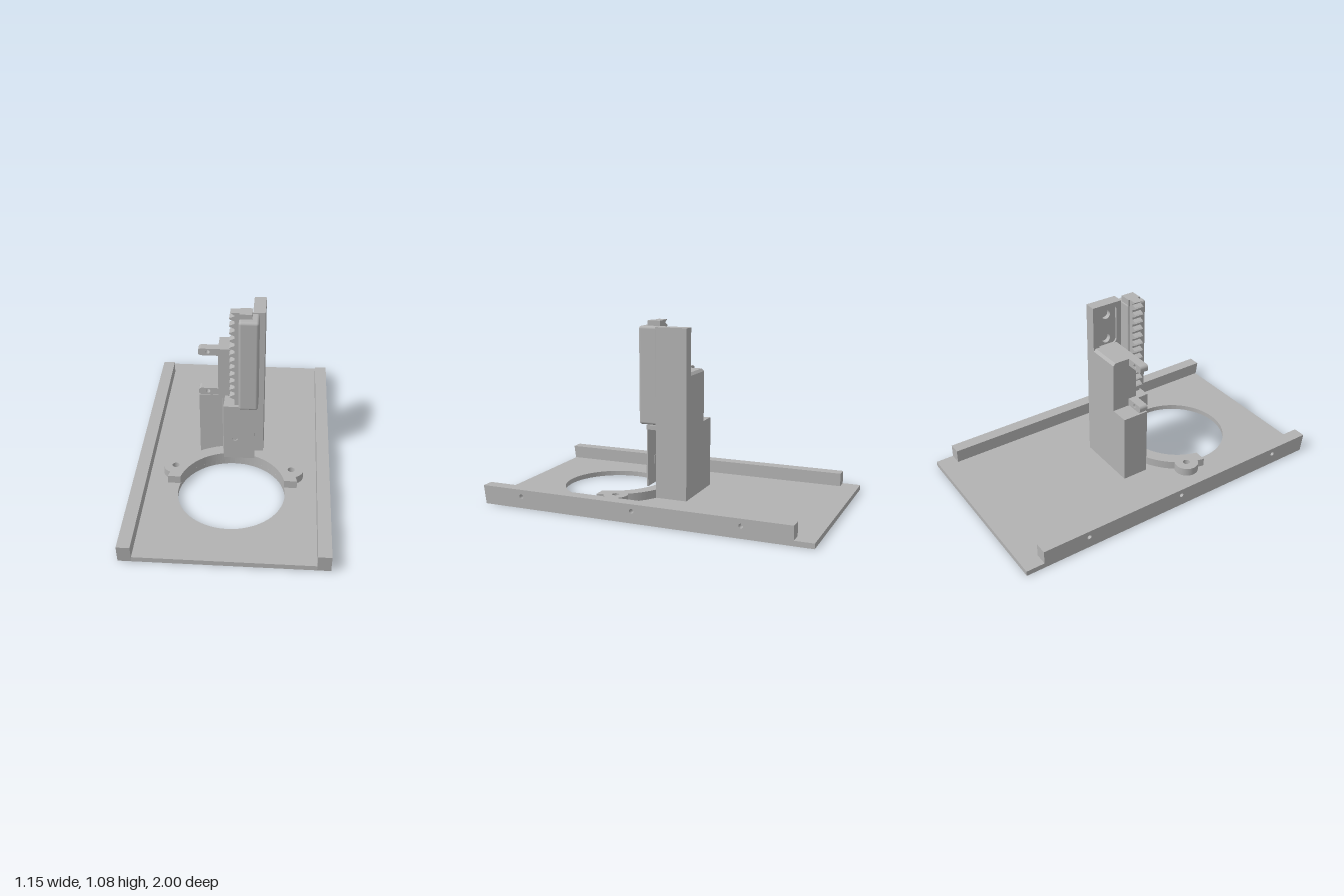
import * as THREE from 'three';
import { RoundedBoxGeometry } from 'three/addons/geometries/RoundedBoxGeometry.js';

export function createModel() {
  const model = new THREE.Group();
  const grey = new THREE.MeshStandardMaterial({ color: 0xb2b2b2 });
  grey.name = 'grey';

  const add = (name, geo) => {
    const mesh = new THREE.Mesh(geo, grey);
    mesh.name = name;
    model.add(mesh);
    return mesh;
  };
  // Box from its limits on each axis
  const box = (name, x0, x1, y0, y1, z0, z1) =>
    add(name, new THREE.BoxGeometry(x1 - x0, y1 - y0, z1 - z0)
      .translate((x0 + x1) / 2, (y0 + y1) / 2, (z0 + z1) / 2));
  const extrude = (shape, depth) =>
    new THREE.ExtrudeGeometry(shape, { depth, bevelEnabled: false, curveSegments: 32 });
  // Shapes drawn as (z, y), (x, -z) and (x, y)
  const alongX = (name, shape, x0, x1) =>
    add(name, extrude(shape, x1 - x0).rotateY(-Math.PI / 2).translate(x1, 0, 0));
  const alongY = (name, shape, y0, y1) =>
    add(name, extrude(shape, y1 - y0).rotateX(-Math.PI / 2).translate(0, y0, 0));
  const alongZ = (name, shape, z0, z1) =>
    add(name, extrude(shape, z1 - z0).translate(0, 0, z0));
  const poly = pts => new THREE.Shape(pts.map(p => new THREE.Vector2(...p)));
  const rect = (x0, x1, y0, y1) => poly([[x0, y0], [x1, y0], [x1, y1], [x0, y1]]);
  const hole = (shape, x, y, r) =>
    shape.holes.push(new THREE.Path().absarc(x, y, r, 0, Math.PI * 2, true));

  // Base plate with the large round opening
  const plate = rect(-0.575, 0.575, -0.985, 1);
  hole(plate, 0, -0.415, 0.315);
  alongY('basePlate', plate, 0, 0.03);

  // Side rails with blind holes in their outer faces
  for (const s of [-1, 1]) {
    const profile = () => poly([[-0.89, 0], [0.985, 0], [1, 0.11], [-0.89, 0.11]]);
    const drilled = profile();
    for (const z of [0.74, 0.03, -0.605]) hole(drilled, z, 0.07, 0.013);
    const span = (a, b) => (s > 0 ? [a, b] : [-b, -a]);
    alongX('railOuter', drilled, ...span(0.535, 0.575));
    alongX('railInner', profile(), ...span(0.5, 0.535));
  }

  // Half ring around the opening, with two screw ears
  const R = 0.39, cy = -0.415, earR = 0.072, earAngle = 0.4636;
  const half = 2 * Math.asin(earR / 2 / R);
  const ring = new THREE.Shape();
  let from = 0.17;
  for (const a of [earAngle, Math.PI - earAngle]) {
    const ex = R * Math.cos(a), ey = R * Math.sin(a);
    const toEar = t => Math.atan2(R * Math.sin(t) - ey, R * Math.cos(t) - ex);
    let end = toEar(a + half);
    const start = toEar(a - half);
    while (end < start) end += Math.PI * 2;
    ring.absarc(0, cy, R, from, a - half, false);
    ring.absarc(ex, cy + ey, earR, start, end, false);
    from = a + half;
    hole(ring, ex, cy + ey, 0.021);
  }
  ring.absarc(0, cy, R, from, Math.PI - 0.17, false);
  ring.absarc(0, cy, 0.315, Math.PI - 0.208, 0.208, true);
  alongY('ringBracket', ring, 0.03, 0.08);

  // Housing blocks
  box('lowerHousing', -0.22, 0.1, 0.03, 0.46, -0.13, 0.03);
  const upper = poly([[-0.13, 0.46], [0.03, 0.46], [0.03, 0.78], [-0.115, 0.78], [-0.13, 0.765]]);
  alongX('upperHousing', upper, -0.105, 0.1);

  // Mounting tabs with rounded ends
  for (const y of [0.463, 0.735]) {
    const r = 0.018, h = 0.045, x0 = -0.222;
    const tab = new THREE.Shape();
    tab.moveTo(-0.105, y);
    tab.lineTo(-0.105, y + h);
    tab.lineTo(x0 + r, y + h);
    tab.absarc(x0 + r, y + h - r, r, Math.PI / 2, Math.PI, false);
    tab.absarc(x0 + r, y + r, r, Math.PI, Math.PI * 1.5, false);
    hole(tab, -0.165, y + 0.024, 0.012);
    alongZ('mountingTab', tab, -0.022, 0.03);
  }

  // Tall column with a shallow pocket and two blind holes on its inner side
  const side = () => rect(-0.13, 0.064, 0.03, 1.045);
  alongX('columnOuter', side(), 0.14, 0.17);
  const bored = side();
  for (const y of [0.975, 0.82]) hole(bored, -0.035, y, 0.028);
  alongX('columnMiddle', bored, 0.112, 0.14);
  const pocketed = side();
  const pocket = new THREE.Path(), pr = 0.025;
  pocket.absarc(-0.1 + pr, 0.78 + pr, pr, Math.PI * 1.5, Math.PI, true);
  pocket.absarc(-0.1 + pr, 1.025 - pr, pr, Math.PI, Math.PI / 2, true);
  pocket.absarc(0.03 - pr, 1.025 - pr, pr, Math.PI / 2, 0, true);
  pocket.absarc(0.03 - pr, 0.78 + pr, pr, 0, -Math.PI / 2, true);
  pocketed.holes.push(pocket);
  alongX('columnInner', pocketed, 0.1, 0.112);

  // Rounded slider in front of the column
  add('slider', new RoundedBoxGeometry(0.115, 0.583, 0.123, 4, 0.016))
    .position.set(0.0825, 0.7535, 0.1255);

  // Toothed rack
  const teeth = [[0.03, 0.46], [0.03, 1.075], [-0.025, 1.075], [0, 1.058]];
  const pitch = 0.0475;
  for (let y = 1.038; y > 0.48; y -= pitch) {
    teeth.push([0, y + 0.016], [-0.024, y + 0.006], [-0.031, y], [-0.024, y - 0.006], [0, y - 0.016]);
  }
  teeth.push([0, 0.46]);
  alongZ('rackTeeth', poly(teeth), 0.075, 0.13);
  box('rackBody', 0.028, 0.1, 0.46, 1.075, 0.067, 0.145);

  // Hollow cover below the slider
  box('coverCap', -0.065, 0.125, 0.43, 0.457, 0.03, 0.146);
  const cover = rect(-0.065, 0.122, 0.08, 0.43);
  hole(cover, 0.003, 0.227, 0.018);
  alongZ('coverFront', cover, 0.137, 0.144);
  box('coverBacking', -0.02, 0.03, 0.2, 0.25, 0.134, 0.137);
  add('coverSide', new THREE.PlaneGeometry(0.107, 0.38))
    .position.set(-0.0725, 0.27, 0.085);
  model.children.at(-1).rotation.y = -1.429;

  return model;
}
